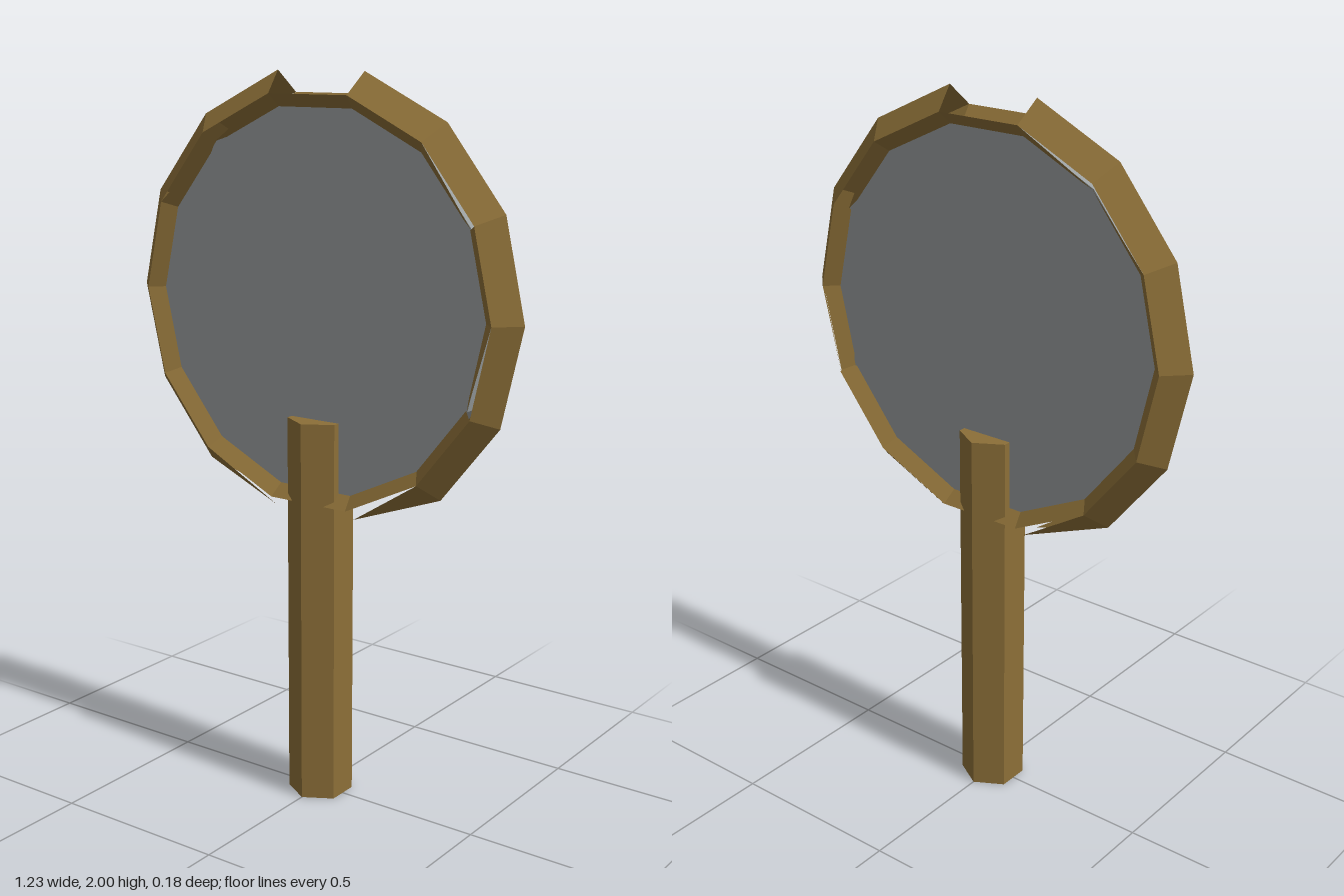
import * as THREE from 'three';

const SIDES = 14;
const CENTRE_Y = 1.4;

// Diamond section of the rim as [radius, z]: outer, front, inner, back
const SECTION = [[0.617, 0], [0.557, 0.06], [0.497, 0], [0.557, -0.06]];

// Worn rim faces: segment -> 'open' (gone), 'start' or 'end' (a splinter keeping that end)
const OUTER_WEAR = { 3: 'open', 9: 'start', 10: 'open', 11: 'end' };
const INNER_WEAR = { 1: 'end', 4: 'start', 5: 'end', 13: 'end' };

function rimPoint(segment, k) {
  const angle = (segment / SIDES) * Math.PI * 2;
  const [r, z] = SECTION[k % 4];
  return new THREE.Vector3(r * Math.cos(angle), r * Math.sin(angle), z);
}

function rimGeometry() {
  const points = [];
  for (let s = 0; s < SIDES; s++) {
    for (let k = 0; k < 4; k++) {
      const outer = k === 0 || k === 3;
      let wear = (outer ? OUTER_WEAR : INNER_WEAR)[s];
      if (s === 13 && k === 3) wear = 'end';
      if (wear === 'open') continue;
      const a = rimPoint(s, k), b = rimPoint(s + 1, k);
      const c = rimPoint(s + 1, k + 1), d = rimPoint(s, k + 1);
      if (wear === 'start') points.push(a, b.clone().lerp(c, 0.5), d);
      else if (wear === 'end') points.push(a.clone().lerp(d, 0.5), b, c);
      else points.push(a, b, c, a, c, d);
    }
  }
  const geometry = new THREE.BufferGeometry().setFromPoints(points);
  geometry.computeVertexNormals();
  return geometry;
}

export function createModel() {
  const group = new THREE.Group();
  const wood = new THREE.MeshStandardMaterial({ color: 0x8c6f38, flatShading: true, side: THREE.DoubleSide });
  const glass = new THREE.MeshStandardMaterial({ color: 0x9a9fa0, flatShading: true });

  const add = (name, geometry, material, y) => {
    const mesh = new THREE.Mesh(geometry, material);
    mesh.name = name;
    mesh.position.y = y;
    group.add(mesh);
    return mesh;
  };

  // Faceted round frame
  add('rim', rimGeometry(), wood, CENTRE_Y);

  // Flat pane inside the frame, its corners lined up with those of the rim
  const paneGeometry = new THREE.CylinderGeometry(0.527, 0.527, 0.05, SIDES, 1, false, Math.PI / 2);
  paneGeometry.rotateX(Math.PI / 2);
  add('pane', paneGeometry, glass, CENTRE_Y);

  // Six-sided handle reaching up over the pane
  add('handle', new THREE.CylinderGeometry(0.09, 0.09, 1.085, 6), wood, 1.085 / 2);

  return group;
}
